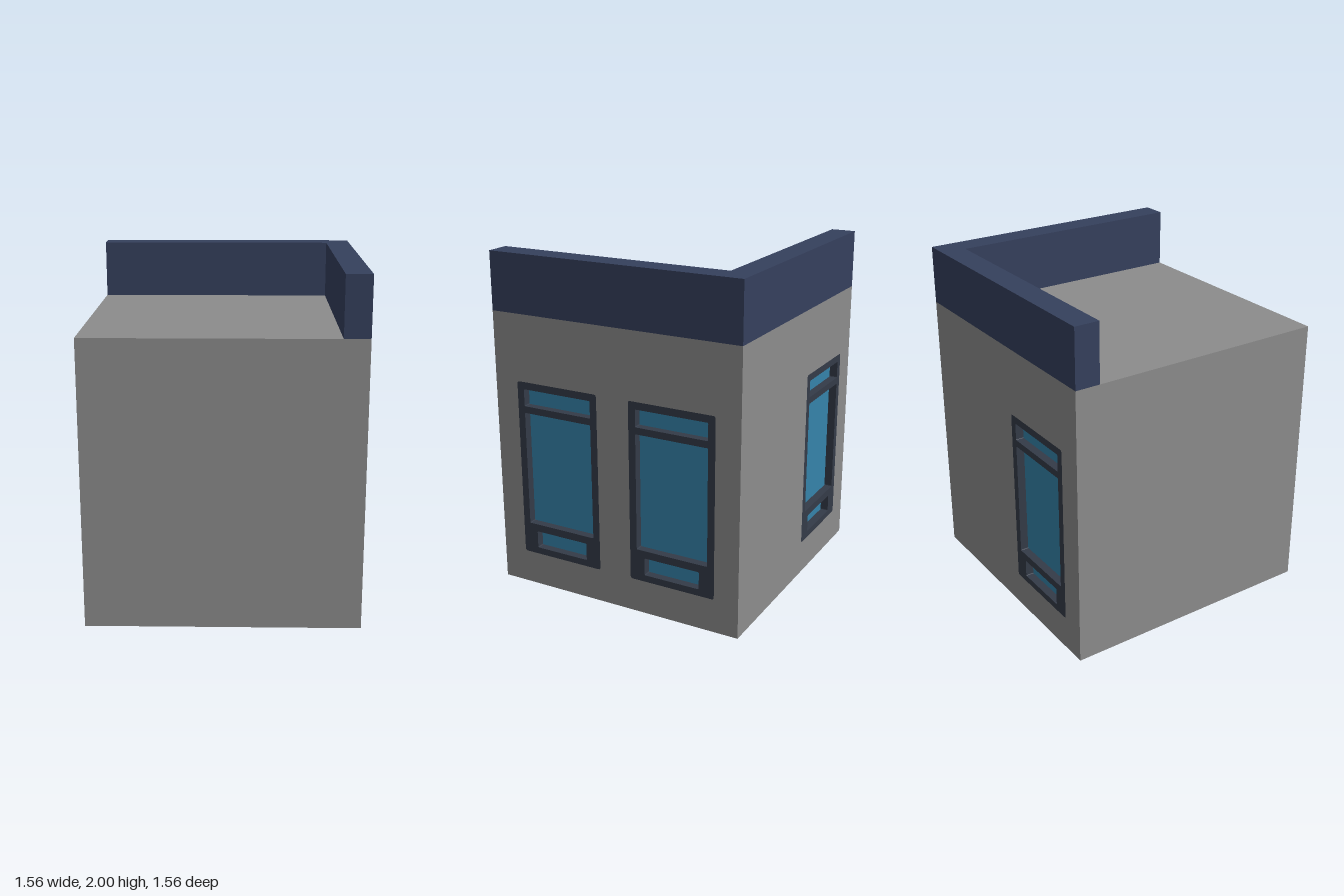
import * as THREE from 'three';

const H = 0.78, ROOF = 1.66, TOP = 2, RIM = 0.145, RECESS = 0.05;

const mat = (name, color) => {
  const m = new THREE.MeshStandardMaterial({ color });
  m.name = name;
  return m;
};

// Rounded rectangle drawn into a Shape or Path
function roundRect(p, x0, y0, x1, y1, r) {
  p.moveTo(x0 + r, y0);
  p.lineTo(x1 - r, y0);
  p.quadraticCurveTo(x1, y0, x1, y0 + r);
  p.lineTo(x1, y1 - r);
  p.quadraticCurveTo(x1, y1, x1 - r, y1);
  p.lineTo(x0 + r, y1);
  p.quadraticCurveTo(x0, y1, x0, y1 - r);
  p.lineTo(x0, y0 + r);
  p.quadraticCurveTo(x0, y0, x0 + r, y0);
  return p;
}

const outline = (p, cx) => roundRect(p, cx - 0.265, 0.2, cx + 0.265, 1.265, 0.015);

export function createModel() {
  const wall = mat('wall grey', 0x8c8c8c);
  const navy = mat('parapet navy', 0x35405d);
  const dark = mat('frame charcoal', 0x343b48);
  const glass = mat('glass blue', 0x3583aa);

  const model = new THREE.Group();
  model.name = 'cornerBuilding';

  const add = (parent, name, geometry, material) => {
    const mesh = new THREE.Mesh(geometry, material);
    mesh.name = name;
    parent.add(mesh);
    return mesh;
  };

  // Window: flush frame with three deep openings and recessed glass
  function addWindow(parent, cx) {
    const win = new THREE.Group();
    win.name = 'window';
    win.position.z = H - RECESS;
    const shape = outline(new THREE.Shape(), cx);
    for (const [w, y0, y1] of [[0.172, 0.24, 0.345], [0.222, 0.39, 1.08], [0.222, 1.12, 1.222]]) {
      shape.holes.push(roundRect(new THREE.Path(), cx - w, y0, cx + w, y1, 0.006));
    }
    add(win, 'windowFrame', new THREE.ExtrudeGeometry(shape,
      { depth: RECESS, bevelEnabled: false, curveSegments: 3 }), dark);
    add(win, 'windowGlass', new THREE.PlaneGeometry(0.5, 1.04), glass).position.set(cx, 0.7325, 0.002);
    parent.add(win);
  }

  // Wall face with cut-outs for its windows, turned about the centre
  function addFacade(name, angle, windows) {
    const side = new THREE.Group();
    side.name = name;
    side.rotation.y = angle;
    const shape = new THREE.Shape();
    shape.moveTo(-H, 0);
    shape.lineTo(H, 0);
    shape.lineTo(H, ROOF);
    shape.lineTo(-H, ROOF);
    shape.closePath();
    for (const cx of windows) {
      shape.holes.push(outline(new THREE.Path(), cx));
      addWindow(side, cx);
    }
    add(side, name + 'Wall', new THREE.ShapeGeometry(shape, 3), wall);
    side.children.at(-1).position.z = H;
    model.add(side);
  }

  addFacade('front', 0, []);
  addFacade('leftSide', Math.PI / 2, [-0.367, 0.367]);
  addFacade('back', Math.PI, [0.367]);
  addFacade('rightSide', -Math.PI / 2, []);

  // Roof and underside
  const roof = add(model, 'roof', new THREE.PlaneGeometry(2 * H, 2 * H), wall);
  roof.rotation.x = -Math.PI / 2;
  roof.position.y = ROOF;
  const base = add(model, 'underside', new THREE.PlaneGeometry(2 * H, 2 * H), wall);
  base.rotation.x = Math.PI / 2;

  // L-shaped parapet along the back and the +x side
  const plan = new THREE.Shape([
    [-H, H], [-H, H - RIM], [H - RIM, H - RIM], [H - RIM, -H], [H, -H], [H, H],
  ].map(([x, y]) => new THREE.Vector2(x, y)));
  const parapet = add(model, 'parapet', new THREE.ExtrudeGeometry(plan,
    { depth: TOP - ROOF, bevelEnabled: false }), navy);
  parapet.rotation.x = -Math.PI / 2;
  parapet.position.y = ROOF;

  return model;
}
